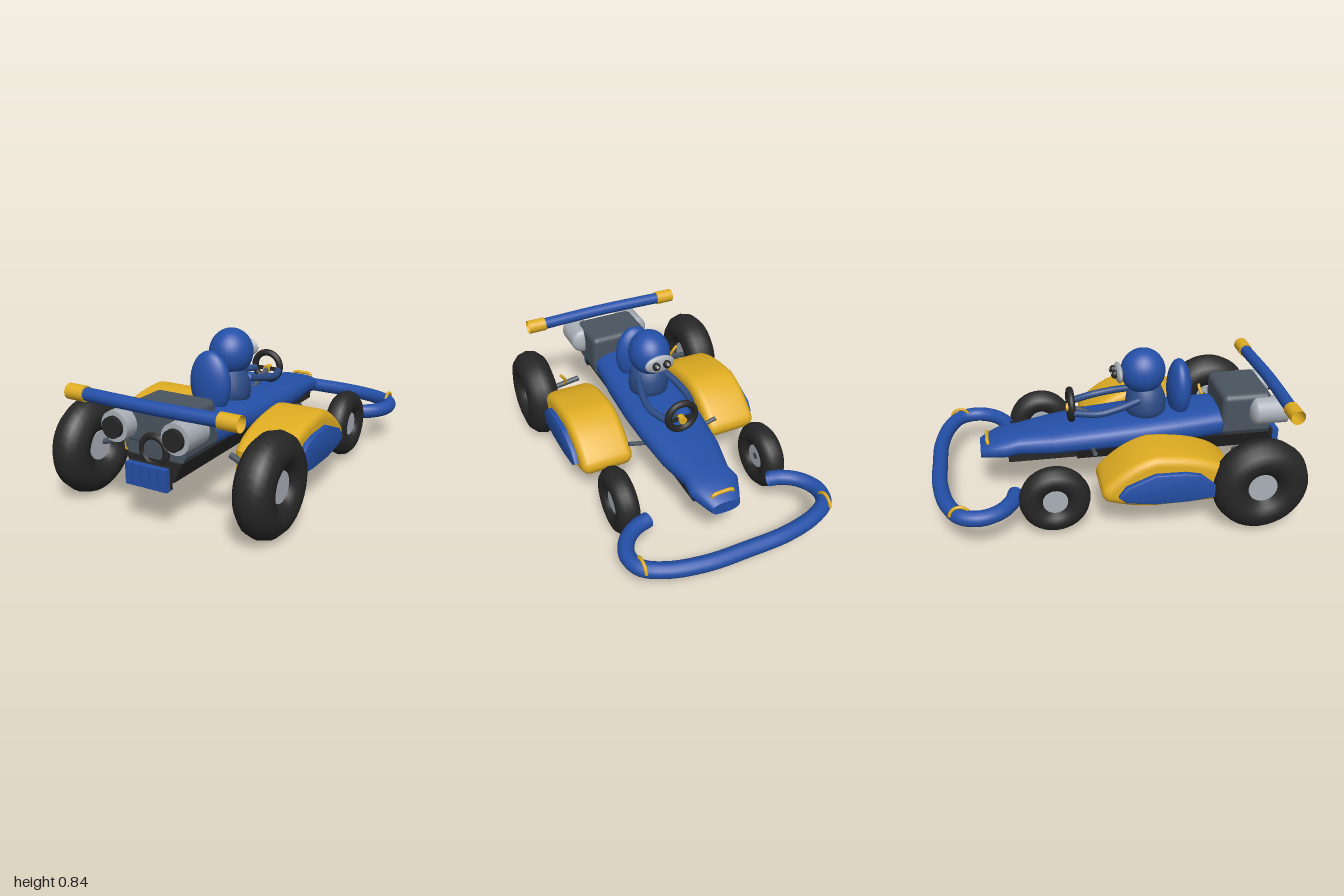
import * as THREE from 'three';
import { RoundedBoxGeometry } from 'three/addons/geometries/RoundedBoxGeometry.js';
import { toCreasedNormals } from 'three/addons/utils/BufferGeometryUtils.js';

const mat = (name, color, side = THREE.FrontSide) => {
  const m = new THREE.MeshStandardMaterial({ color, side });
  m.name = name;
  return m;
};

export function createModel() {
  const kart = new THREE.Group();
  kart.name = 'kart';
  const blue = mat('blue paint', 0x2450a8, THREE.DoubleSide);
  const suit = mat('suit blue', 0x2b4a84);
  const yellow = mat('yellow paint', 0xe0ad22, THREE.DoubleSide);
  const black = mat('black rubber', 0x262626);
  const steel = mat('dark steel', 0x4a5561);
  const silver = mat('silver', 0xaab0b8);

  const v = (p) => new THREE.Vector3(...p);
  const add = (name, geo, material, pos = [0, 0, 0], parent = kart) => {
    const m = new THREE.Mesh(geo, material);
    m.name = name;
    m.position.set(...pos);
    parent.add(m);
    return m;
  };
  const ball = (name, material, pos, radii, parent) => {
    const m = add(name, new THREE.SphereGeometry(1, 32, 20), material, pos, parent);
    m.scale.set(...radii);
    return m;
  };
  const tube = (name, pts, r, material, segs = 24, parent = kart) =>
    add(name, new THREE.TubeGeometry(new THREE.CatmullRomCurve3(pts.map(v)), segs, r, 14), material, [0, 0, 0], parent);
  const rod = (name, a, b, r, material, parent = kart) => {
    const d = v(b).sub(v(a));
    const m = add(name, new THREE.CylinderGeometry(r, r, d.length(), 16), material,
      v(a).add(v(b)).multiplyScalar(0.5).toArray(), parent);
    m.quaternion.setFromUnitVectors(new THREE.Vector3(0, 1, 0), d.normalize());
    return m;
  };
  // Plate drawn in (z, y), extruded outward from x0 to x1 on the +x side
  const sidePlate = (shape, x0, x1, bevel) => {
    const g = new THREE.ExtrudeGeometry(shape, {
      depth: x1 - x0 - 2 * bevel, bevelEnabled: true, bevelSize: bevel, bevelThickness: bevel,
      bevelOffset: -bevel, bevelSegments: 5, curveSegments: 10,
    });
    g.rotateY(-Math.PI / 2);
    g.translate(x1 - bevel, 0, 0);
    return toCreasedNormals(g, 0.6);
  };

  // Body shell lofted along z: [z, half width, top, bottom]
  const stations = [
    [-0.73, 0.08, 0.34, 0.27], [-0.69, 0.1, 0.365, 0.27], [-0.6, 0.14, 0.395, 0.28],
    [-0.52, 0.128, 0.405, 0.285], [-0.33, 0.17, 0.43, 0.29], [-0.1, 0.19, 0.455, 0.3],
    [0.1, 0.197, 0.47, 0.31], [0.35, 0.187, 0.482, 0.31], [0.62, 0.165, 0.488, 0.32],
  ];
  const N = 28, pos = [], idx = [];
  const pw = (c, e) => Math.sign(c) * Math.abs(c) ** e;
  for (const [z, w, top, bot] of stations) {
    for (let i = 0; i < N; i++) {
      const a = (i / N) * Math.PI * 2;
      pos.push(w * pw(Math.cos(a), 0.75), (top + bot) / 2 + ((top - bot) / 2) * pw(Math.sin(a), 0.75), z);
    }
  }
  for (let s = 0; s < stations.length - 1; s++) {
    for (let i = 0; i < N; i++) {
      const a = s * N + i, b = s * N + ((i + 1) % N);
      idx.push(a, b, a + N, b, b + N, a + N);
    }
  }
  const last = (stations.length - 1) * N;
  for (let i = 1; i < N - 1; i++) idx.push(0, i + 1, i, last, last + i, last + i + 1);
  const shell = new THREE.BufferGeometry();
  shell.setAttribute('position', new THREE.Float32BufferAttribute(pos, 3));
  shell.setIndex(idx);
  add('bodyShell', toCreasedNormals(shell, 0.7), blue);

  // Black undertray with sloping sides
  const tray = new THREE.Shape([[-0.16, 0.35], [-0.115, 0.25], [0.115, 0.25], [0.16, 0.35]]
    .map((p) => new THREE.Vector2(...p)));
  add('undertray', new THREE.ExtrudeGeometry(tray, { depth: 1.1, bevelEnabled: false }), black, [0, 0, -0.2]);
  add('frontFloor', new THREE.BoxGeometry(0.22, 0.05, 0.42), black, [0, 0.285, -0.37]);
  tube('noseHandle', [[-0.058, 0.34, -0.68], [-0.055, 0.372, -0.69], [0, 0.378, -0.69], [0.055, 0.372, -0.69], [0.058, 0.34, -0.68]], 0.01, yellow);

  // Engine, ring and exhausts
  add('engineBlock', new RoundedBoxGeometry(0.35, 0.2, 0.28, 4, 0.035), steel, [0, 0.497, 0.75]);
  const lower = new THREE.Shape([[-0.175, 0.43], [-0.175, 0.38], [-0.13, 0.31], [0.13, 0.31], [0.175, 0.38], [0.175, 0.43]]
    .map((p) => new THREE.Vector2(...p)));
  add('engineBase', new THREE.ExtrudeGeometry(lower, { depth: 0.27, bevelEnabled: false }), steel, [0, 0, 0.615]);
  add('engineRing', new THREE.TorusGeometry(0.07, 0.018, 12, 32), black, [0, 0.39, 0.89]);
  add('engineCap', new THREE.CylinderGeometry(0.055, 0.055, 0.03, 24).rotateX(Math.PI / 2), steel, [0, 0.39, 0.885]);

  // Rear grille with fins
  add('grillePlate', new THREE.BoxGeometry(0.234, 0.11, 0.02), black, [0, 0.28, 0.925]);
  for (const y of [0.23, 0.328]) add('grilleRail', new THREE.BoxGeometry(0.234, 0.014, 0.03), blue, [0, y, 0.948]);
  for (let i = -2; i <= 2; i++) {
    const w = Math.abs(i) === 2 ? 0.04 : 0.034;
    add('grilleFin', new THREE.BoxGeometry(w, 0.11, 0.035), blue, [i * 0.0485, 0.28, 0.951]);
  }

  // Rear wing bar with open sleeves
  tube('wingBar', [[-0.39, 0.612, 0.91], [0, 0.612, 0.922], [0.39, 0.612, 0.91]], 0.034, blue);

  // Wraparound front bumper
  const half = [[0.36, -0.56], [0.43, -0.58], [0.51, -0.64], [0.555, -0.74], [0.53, -0.84], [0.42, -0.91], [0.22, -0.955]];
  const loop = [...half.map(([x, z]) => [x, 0.22, z]), [0, 0.22, -0.96], ...half.slice().reverse().map(([x, z]) => [-x, 0.22, z])];
  tube('bumper', loop, 0.042, blue, 90);

  // Side pods and panels in (z, y)
  const podShape = new THREE.Shape();
  podShape.moveTo(0.575, 0.2);
  podShape.lineTo(0.575, 0.33);
  podShape.bezierCurveTo(0.5, 0.42, 0.34, 0.455, 0.16, 0.462);
  podShape.bezierCurveTo(0.04, 0.44, -0.04, 0.37, -0.11, 0.3);
  podShape.quadraticCurveTo(-0.135, 0.255, -0.1, 0.22);
  podShape.quadraticCurveTo(0.03, 0.168, 0.18, 0.165);
  podShape.lineTo(0.45, 0.172);
  podShape.quadraticCurveTo(0.55, 0.175, 0.575, 0.2);
  const panelShape = new THREE.Shape([[0.47, 0.22], [0.47, 0.29], [0.39, 0.36], [0.31, 0.378], [0.15, 0.382], [0, 0.32],
    [-0.04, 0.265], [0, 0.23], [0.15, 0.208], [0.33, 0.206]].map((p) => new THREE.Vector2(...p)));

  const wheel = (name, s, x, y, z, R, r, hub) => {
    const g = new THREE.Group();
    g.name = name;
    g.position.set(s * x, y, z);
    add('tyre', new THREE.TorusGeometry(R, r, 12, 36).rotateY(Math.PI / 2), black, [0, 0, 0], g);
    add('hub', new THREE.CylinderGeometry(hub, hub, r * 1.1, 28).rotateZ(Math.PI / 2), silver, [0, 0, 0], g);
    kart.add(g);
  };

  for (const s of [1, -1]) {
    const side = s > 0 ? 'left' : 'right';
    wheel(side + 'LargeWheel', s, 0.533, 0.264, 0.72, 0.163, 0.097, 0.078);
    wheel(side + 'SmallWheel', s, 0.437, 0.217, -0.36, 0.124, 0.065, 0.066);

    const pod = add(side + 'Pod', sidePlate(podShape, 0.24, 0.537, 0.045), yellow);
    const panel = add(side + 'PodPanel', sidePlate(panelShape, 0.52, 0.565, 0.008), blue);
    if (s < 0) for (const m of [pod, panel]) m.scale.x = -1;

    // Axle arms and hose
    rod(side + 'RearArm', [s * 0.5, 0.27, 0.695], [s * 0.275, 0.335, 0.65], 0.016, steel);
    rod(side + 'FrontArm', [s * 0.27, 0.365, -0.12], [s * 0.14, 0.33, -0.12], 0.012, steel);
    rod(side + 'FrontAxle', [s * 0.4, 0.217, -0.36], [s * 0.437, 0.217, -0.36], 0.02, steel);
    tube(side + 'Hose', [[s * 0.395, 0.4, 0.628], [s * 0.375, 0.375, 0.63], [s * 0.363, 0.34, 0.645], [s * 0.365, 0.315, 0.66]], 0.009, yellow);

    // Exhaust with rounded elbow
    rod(side + 'Exhaust', [s * 0.173, 0.5, 0.8], [s * 0.173, 0.5, 0.965], 0.078, silver);
    ball(side + 'ExhaustElbow', silver, [s * 0.173, 0.5, 0.8], [0.078, 0.078, 0.04]);
    rod(side + 'ExhaustMouth', [s * 0.173, 0.5, 0.95], [s * 0.173, 0.5, 0.99], 0.054, black);

    const sleeve = new THREE.CylinderGeometry(0.04, 0.04, 0.107, 28, 1, true).rotateZ(Math.PI / 2);
    add(side + 'WingSleeve', sleeve, yellow, [s * 0.434, 0.612, 0.91]);
    add(side + 'SleeveRim', new THREE.RingGeometry(0.033, 0.04, 28).rotateY(Math.PI / 2), yellow, [s * 0.38, 0.612, 0.91]);
    add(side + 'BumperLoop', new THREE.TorusGeometry(0.05, 0.009, 8, 20, Math.PI).rotateY(Math.PI / 2), yellow, [s * 0.525, 0.228, -0.85]);

    // Driver's arms and eyes
    tube(side + 'Arm', [[s * 0.085, 0.57, 0.15], [s * 0.115, 0.545, 0.03], [s * 0.12, 0.525, -0.08], [s * 0.075, 0.518, -0.21]], 0.02, suit);
    ball(side + 'Eye', black, [s * 0.032, 0.715, 0.025], [0.022, 0.024, 0.022]);
    ball(side + 'EyeGlint', silver, [s * 0.032, 0.72, 0.008], [0.009, 0.01, 0.007]);
  }

  // Driver
  const torso = [[0, 0.43], [0.105, 0.44], [0.115, 0.5], [0.11, 0.56], [0.085, 0.62], [0, 0.65]]
    .map((p) => new THREE.Vector2(...p));
  add('torso', new THREE.LatheGeometry(torso, 32), suit, [0, 0, 0.205]);
  ball('helmet', blue, [0, 0.712, 0.187], [0.117, 0.128, 0.125]);
  ball('goggles', silver, [0, 0.71, 0.05], [0.088, 0.052, 0.022]);
  ball('headrest', blue, [0, 0.59, 0.395], [0.117, 0.172, 0.067]);

  // Steering
  add('steeringWheel', new THREE.TorusGeometry(0.08, 0.019, 12, 32), black, [0, 0.535, -0.22]);
  add('steeringSpoke', new THREE.BoxGeometry(0.16, 0.02, 0.015), black, [0, 0.52, -0.22]);
  rod('steeringHub', [0, 0.518, -0.245], [0, 0.518, -0.205], 0.022, yellow);
  rod('steeringColumn', [0, 0.515, -0.21], [0, 0.43, -0.01], 0.014, steel);

  return kart;
}
